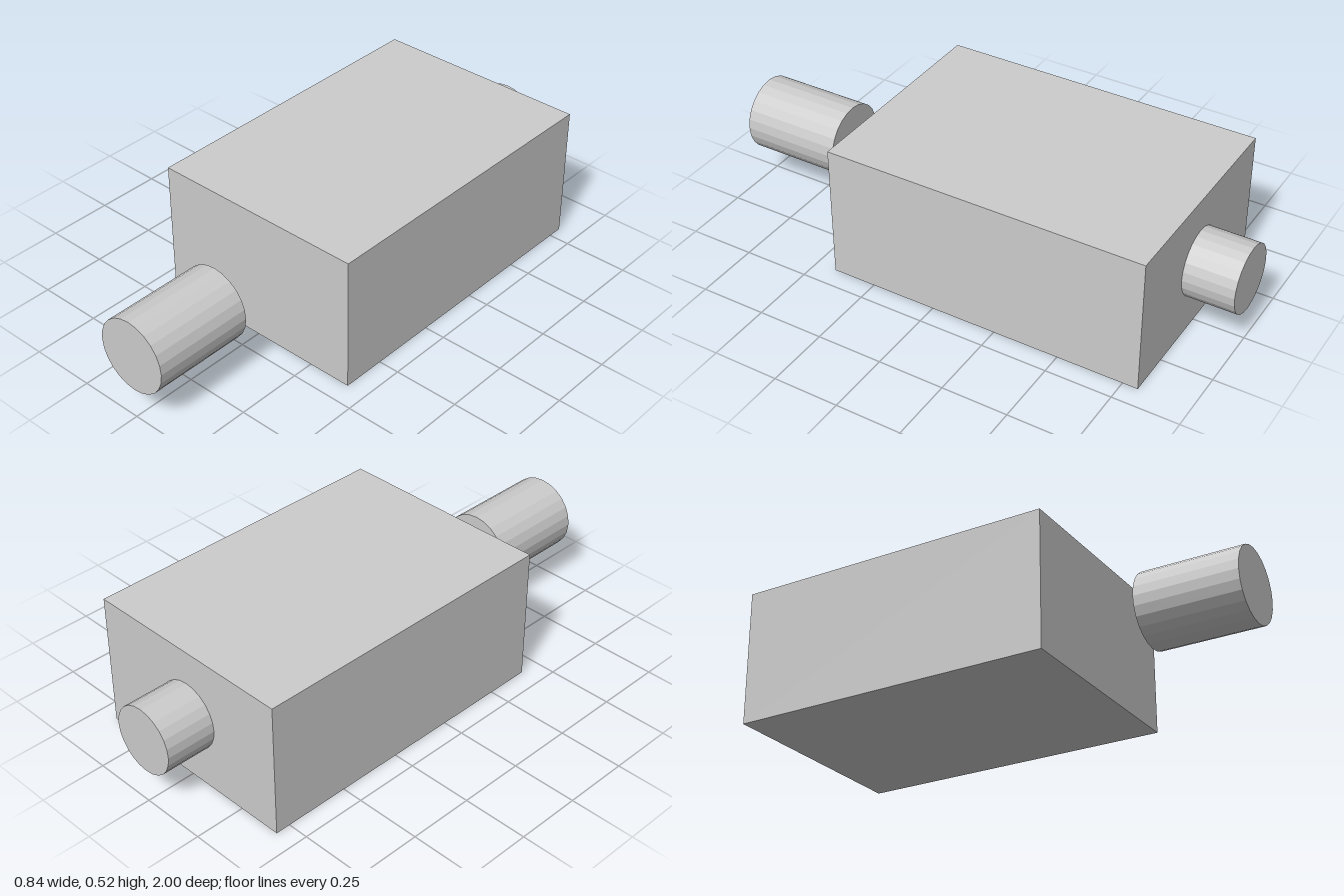
import * as THREE from 'three';

export function createModel() {
  const model = new THREE.Group();
  const material = new THREE.MeshStandardMaterial({ color: 0xcccccc, flatShading: true });
  const height = 0.517;

  const add = (name, geometry, z) => {
    const mesh = new THREE.Mesh(geometry, material);
    mesh.name = name;
    mesh.position.set(0, height / 2, z);
    model.add(mesh);
  };

  // Cylinder lying along z between two depths
  const addCylinder = (name, radius, back, front) => {
    const geometry = new THREE.CylinderGeometry(radius, radius, front - back, 24);
    add(name, geometry.rotateX(Math.PI / 2), (front + back) / 2);
  };

  // Main block
  const back = -0.807, front = 0.418;
  add('body', new THREE.BoxGeometry(0.84, height, front - back), (front + back) / 2);

  // Separate cylinder ahead of the block, and the stub on its rear face
  addCylinder('frontCylinder', 0.141, 0.614, 1);
  addCylinder('rearStub', 0.128, -1, back);

  return model;
}
